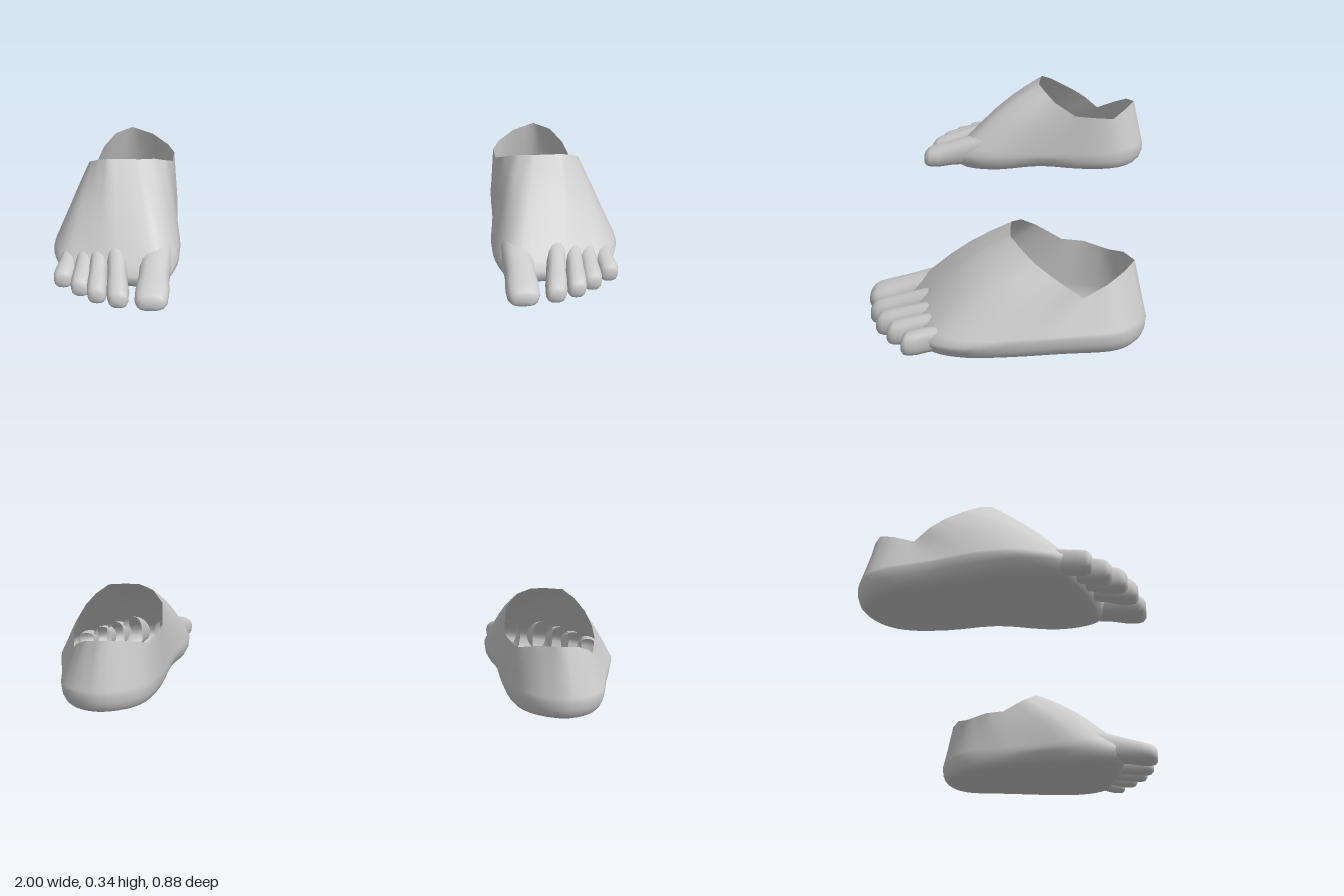
import * as THREE from 'three';

// Rim of the ankle opening: back, inner side, front, outer side (left foot).
const RIM = [
  [0.76, 0.253, -0.40], [0.68, 0.243, -0.365], [0.62, 0.222, -0.32], [0.59, 0.235, -0.24],
  [0.59, 0.24, -0.17], [0.60, 0.29, -0.09], [0.64, 0.325, -0.045], [0.69, 0.338, -0.02],
  [0.74, 0.34, -0.02], [0.80, 0.338, -0.025], [0.84, 0.315, -0.06], [0.87, 0.285, -0.10],
  [0.89, 0.25, -0.155], [0.895, 0.22, -0.20], [0.885, 0.18, -0.25], [0.86, 0.215, -0.32],
  [0.82, 0.243, -0.37],
];
// Widest outline of the foot, matched station by station with the rim.
const WIDE = [
  [0.77, 0.07, -0.44], [0.67, 0.07, -0.40], [0.61, 0.07, -0.32], [0.585, 0.07, -0.19],
  [0.573, 0.07, -0.03], [0.55, 0.07, 0.13], [0.56, 0.07, 0.24], [0.60, 0.065, 0.31],
  [0.69, 0.065, 0.31], [0.79, 0.065, 0.29], [0.88, 0.06, 0.26], [0.965, 0.06, 0.21],
  [1.0, 0.06, 0.10], [0.983, 0.07, -0.04], [0.947, 0.07, -0.19], [0.915, 0.07, -0.34],
  [0.86, 0.07, -0.41],
];
// Toes from big to little: root, tip, half width, height at the root.
const TOES = [
  { name: 'bigToe', root: [0.625, 0.19], tip: [0.63, 0.437], half: 0.057, top: 0.15 },
  { name: 'secondToe', root: [0.765, 0.19], tip: [0.742, 0.417], half: 0.037, top: 0.15 },
  { name: 'middleToe', root: [0.825, 0.17], tip: [0.818, 0.388], half: 0.034, top: 0.135 },
  { name: 'fourthToe', root: [0.87, 0.14], tip: [0.88, 0.345], half: 0.034, top: 0.125 },
  { name: 'littleToe', root: [0.92, 0.11], tip: [0.947, 0.292], half: 0.034, top: 0.11 },
];
// Toe sections: position along the toe, width factor, height factor, underside.
const TOE_RINGS = [
  [0, 1, 1, 0.02], [0.3, 0.95, 1, 0.02], [0.55, 0.92, 1, 0.014], [0.75, 1.02, 1, 0.006],
  [0.9, 1.0, 1, 0.005], [0.96, 0.88, 0.92, 0.008], [1, 0.6, 0.78, 0.018], [1, 0, 0.5, 0.035],
];

const lerp = THREE.MathUtils.lerp;

// Skin a list of closed rings; side -1 mirrors the surface across x = 0.
function loft(rows, side) {
  const n = rows[0].length, index = [];
  const positions = rows.flat().flatMap(([x, y, z]) => [x * side, y, z]);
  for (let r = 0; r < rows.length - 1; r++) {
    for (let i = 0; i < n; i++) {
      const a = r * n + i, b = r * n + (i + 1) % n, c = a + n, d = b + n;
      if (side > 0) index.push(a, c, b, b, c, d);
      else index.push(a, b, c, b, d, c);
    }
  }
  const geometry = new THREE.BufferGeometry();
  geometry.setAttribute('position', new THREE.Float32BufferAttribute(positions, 3));
  geometry.setIndex(index);
  geometry.computeVertexNormals();
  return geometry;
}

// Open shell: straight flanks from rim to outline, then rolled under to the sole.
function bodyRows() {
  const n = RIM.length, sub = 3, rim = [], wide = [];
  const curve = new THREE.CatmullRomCurve3(
    WIDE.map(p => new THREE.Vector3(...p)), true, 'catmullrom', 0.5);
  for (let i = 0; i < n * sub; i++) {
    const k = Math.floor(i / sub), f = (i % sub) / sub;
    rim.push(RIM[k].map((v, j) => lerp(v, RIM[(k + 1) % n][j], f)));
    wide.push(curve.getPoint(i / (n * sub)).toArray());
  }
  const rows = [0, 0.2, 0.4, 0.6, 0.8, 0.92, 1].map(t => rim.map((p, i) => {
    const q = p.map((v, j) => lerp(v, wide[i][j], t));
    // Rounded instep towards the front
    q[1] += 0.024 * Math.sin(Math.PI * t) * THREE.MathUtils.smoothstep(wide[i][2], 0, 0.3);
    return q;
  }));
  const under = [[0.02, 0.042], [0.08, 0.02], [0.16, 0.008], [0.3, 0.004], [0.65, 0.005], [1, 0.007]];
  for (const [pull, y] of under) {
    rows.push(wide.map(([x, , z]) => {
      // Shallow arch on the inner side
      const arch = x < 0.7 ? 0.016 * Math.exp(-(((z + 0.03) / 0.12) ** 2)) * (1 - pull) : 0;
      return [lerp(x, 0.76, pull), y + arch, lerp(z, THREE.MathUtils.clamp(z, -0.3, 0.15), pull)];
    }));
  }
  return rows;
}

// Softly squared sections running from the root to a blunt tip.
function toeRows({ root, tip, half, top }) {
  const sides = 16;
  const soft = v => Math.sign(v) * Math.abs(v) ** 0.8;
  return TOE_RINGS.map(([s, width, height, low]) => {
    const high = lerp(top, 0.073, s) * height;
    const cx = lerp(root[0], tip[0], s), z = lerp(root[1], tip[1], s);
    return Array.from({ length: sides }, (_, i) => {
      const a = i / sides * Math.PI * 2;
      return [
        cx + half * width * soft(Math.cos(a)),
        (high + low) / 2 - (width ? (high - low) / 2 * soft(Math.sin(a)) : 0),
        z,
      ];
    });
  });
}

function createFoot(name, side, material) {
  const foot = new THREE.Group();
  foot.name = name;
  const add = (part, rows) => {
    const mesh = new THREE.Mesh(loft(rows, side), material);
    mesh.name = part;
    foot.add(mesh);
  };
  add('footBody', bodyRows());
  for (const toe of TOES) add(toe.name, toeRows(toe));
  return foot;
}

export function createModel() {
  const material = new THREE.MeshStandardMaterial({ color: 0xcccccc, side: THREE.DoubleSide });
  const model = new THREE.Group();
  model.name = 'feet';
  model.add(createFoot('leftFoot', 1, material), createFoot('rightFoot', -1, material));
  return model;
}
